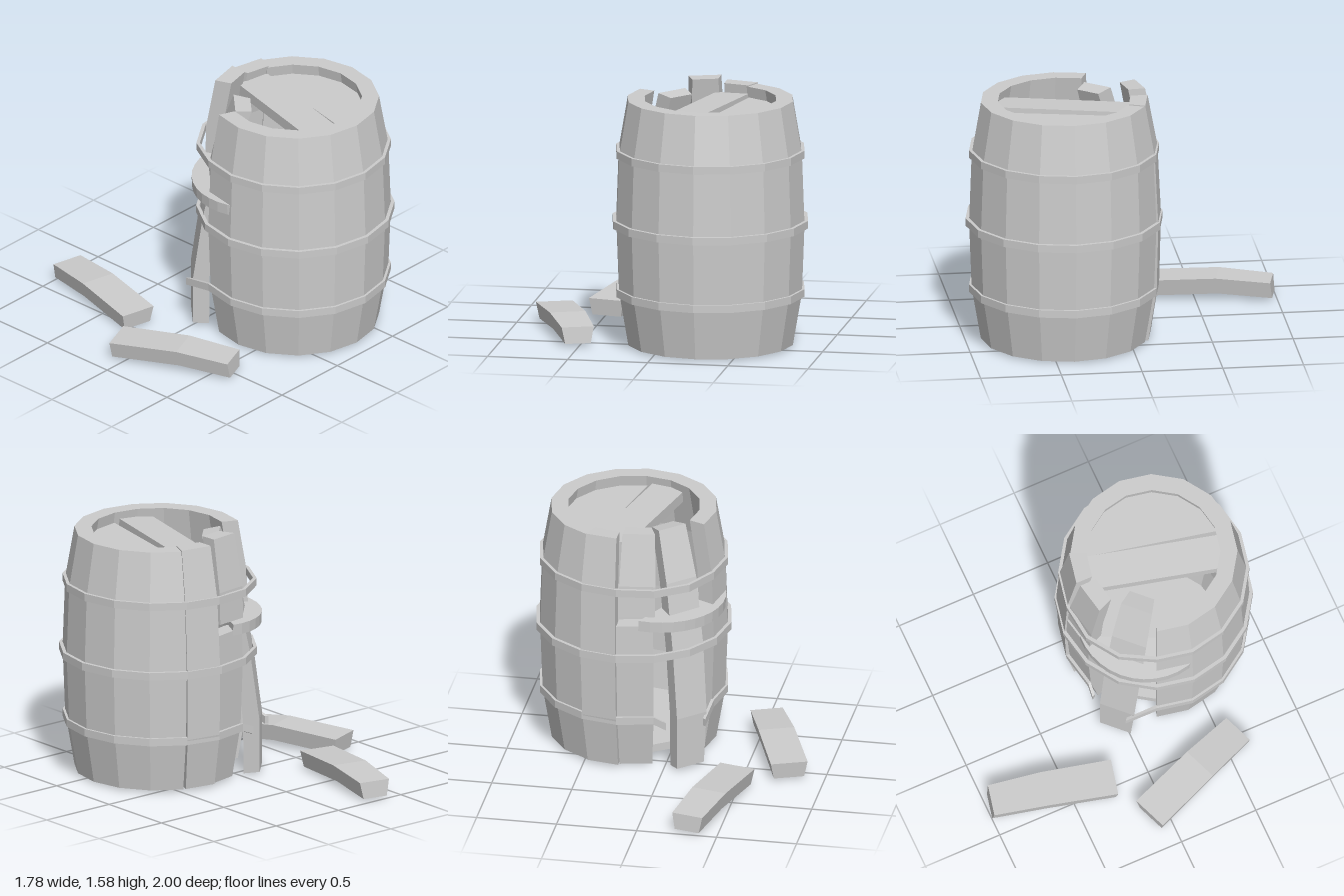
import * as THREE from 'three';

const STEP = 22.5, RAD = Math.PI / 180;
const mat = new THREE.MeshStandardMaterial({ color: 0xcccccc, flatShading: true, side: THREE.DoubleSide });

// outer stave radius at key heights
const CURVE = [[0.01, 0.515], [0.34, 0.572], [0.77, 0.588], [1.21, 0.572], [1.54, 0.515]];
const THICK = 0.105;

function radiusAt(y) {
  for (let i = 1; i < CURVE.length; i++) {
    const [y0, r0] = CURVE[i - 1], [y1, r1] = CURVE[i];
    if (y <= y1) return r0 + (r1 - r0) * (y - y0) / (y1 - y0);
  }
  return CURVE[CURVE.length - 1][1];
}

// closed counter-clockwise [radius, y] outline of a stave between two heights
function staveProfile(y0, y1) {
  const ys = [y0, ...CURVE.map(c => c[0]).filter(y => y > y0 && y < y1), y1];
  const outer = ys.map(y => [radiusAt(y), y]);
  return [...outer, ...outer.map(([r, y]) => [r - THICK, y]).reverse()];
}

// sweeps a closed [radius, y] outline round the y axis; bend(angle) gives extra [radius, y]
function sweep(profile, angles, bend = () => [0, 0]) {
  const n = profile.length, pos = [], idx = [];
  for (const a of angles) {
    const [dr, dy] = bend(a);
    for (const [r, y] of profile)
      pos.push((r + dr) * Math.cos(a * RAD), y + dy, (r + dr) * Math.sin(a * RAD));
  }
  for (let s = 0; s < angles.length - 1; s++) {
    for (let i = 0; i < n; i++) {
      const j = (i + 1) % n, A = s * n, B = A + n;
      idx.push(A + i, A + j, B + j, A + i, B + j, B + i);
    }
  }
  const last = angles.length - 1;
  if (angles[last] - angles[0] < 359.9) {
    const caps = THREE.ShapeUtils.triangulateShape(profile.map(p => new THREE.Vector2(...p)), []);
    for (const [a, b, c] of caps) idx.push(a, c, b, last * n + a, last * n + b, last * n + c);
  }
  const g = new THREE.BufferGeometry();
  g.setAttribute('position', new THREE.Float32BufferAttribute(pos, 3));
  g.setIndex(idx);
  const flat = g.toNonIndexed();
  flat.computeVertexNormals();
  return flat;
}

// start and end angle with every facet corner between them
function facets(start, end) {
  const list = [start];
  for (let a = Math.floor(start / STEP + 1) * STEP; a < end - 0.01; a += STEP) list.push(a);
  return [...list, end];
}

function add(parent, name, geometry) {
  const m = new THREE.Mesh(geometry, mat);
  m.name = name;
  parent.add(m);
  return m;
}

// one stave facing +x
const stave = (y0, y1) => sweep(staveProfile(y0, y1), [-STEP / 2, STEP / 2]);

// slice of a disc between two offsets along x, top at y = 0
function discSlice(a, b, R, depth) {
  const t0 = Math.acos(b / R), t1 = Math.acos(a / R), top = [], n = 7;
  for (let i = 0; i <= n; i++) {
    const t = t0 + (t1 - t0) * i / n;
    top.push(new THREE.Vector2(R * Math.cos(t), R * Math.sin(t)));
  }
  const bottom = top.map(p => new THREE.Vector2(p.x, -p.y)).reverse();
  const g = new THREE.ExtrudeGeometry(new THREE.Shape([...top, ...bottom]), { depth, bevelEnabled: false });
  return g.rotateX(Math.PI / 2);
}

// half stave lying on the ground, outer side up, from its wide end to its narrow end
function fallenStave(parent, name, wide, narrow) {
  const g = stave(0.77, 1.54);
  g.translate(-0.439, -1.155, 0).rotateZ(-0.097);
  const up = new THREE.Vector3(0, 1, 0);
  const dir = new THREE.Vector3(narrow[0] - wide[0], 0, narrow[1] - wide[1]).normalize();
  const m = new THREE.Matrix4().makeBasis(up, dir, up.clone().cross(dir));
  m.setPosition((wide[0] + narrow[0]) / 2, 0.015, (wide[1] + narrow[1]) / 2);
  return add(parent, name, g.applyMatrix4(m));
}

export function createModel() {
  const model = new THREE.Group();
  model.name = 'brokenBarrel';
  const barrel = new THREE.Group();
  barrel.name = 'barrel';
  barrel.position.set(0.28, 0, 0.39);
  model.add(barrel);

  // sound wall: twelve of the sixteen facets
  add(barrel, 'wall', sweep(staveProfile(0.01, 1.54), facets(292.5, 562.5)));

  // loose staves: [name, angle, bottom, top, lean in, roll, lift, outward]
  const loose = [
    ['looseStave', 281.5, 0.01, 1.54, 0.012, 0.012, 0.006, 0.012],
    ['snappedStaveTop', 258.5, 1.01, 1.54, 0.02, -0.03, 0.035, 0.01],
    ['snappedStaveBottom', 258.75, 0.01, 0.98, -0.01, 0.01, 0, 0],
    ['leaningStave', 224, 0.01, 1.54, 0.17, -0.03, 0, 0],
  ];
  for (const [name, angle, y0, y1, lean, roll, lift, out] of loose) {
    const g = stave(y0, y1);
    g.translate(-0.54, -0.77, 0).rotateZ(lean).rotateX(roll);
    g.translate(0.54 + out, 0.773 + lift, 0).rotateY(-angle * RAD);
    add(barrel, name, g);
  }

  // hoops
  const hoop = (y, r) => [[r, y - 0.024], [r, y + 0.024], [r - 0.022, y + 0.024], [r - 0.022, y - 0.024]];
  const bulge = a => [Math.abs(a - 236.25) < 15 ? 0.02 : 0, 0];
  add(barrel, 'topHoop', sweep(hoop(1.21, 0.588), facets(0, 360), bulge));
  add(barrel, 'middleHoop', sweep(hoop(0.77, 0.61), facets(0, 360)));
  // bottom hoop is torn open, its ends bent outward
  const torn = a => a > 575 ? [0.09, -0.04] : a < 245 ? [0.04, -0.03] : [0, 0];
  add(barrel, 'tornBottomHoop', sweep(hoop(0.34, 0.588), facets(241, 579), torn));

  // floor
  const floor = add(barrel, 'floor', new THREE.CylinderGeometry(0.43, 0.43, 0.05, 16));
  floor.position.y = 0.075;

  // lid boards, the last one fallen inside and poking through the wall
  const R = 0.43;
  const boards = [
    ['lidBoard', 0.085, R, 0, 1.47, 0, -0.217, 0],
    ['shiftedLidBoard', -0.15, 0.065, 0, 1.49, 0, -0.25, 0.03],
    ['fallenLidBoard', -R, -0.16, -0.165, 1.03, -0.13, -0.45, 0.05],
  ];
  for (const [name, a, b, x, y, z, turn, tilt] of boards) {
    const board = add(barrel, name, discSlice(a, b, R, 0.07));
    board.position.set(x, y, z);
    board.rotation.set(0, turn, tilt);
  }

  // two halves of the missing stave on the ground
  fallenStave(model, 'fallenStaveBack', [-0.48, -0.23], [-0.31, -0.98]);
  fallenStave(model, 'fallenStaveSide', [-0.78, -0.1], [-0.51, 0.6]);
  return model;
}
